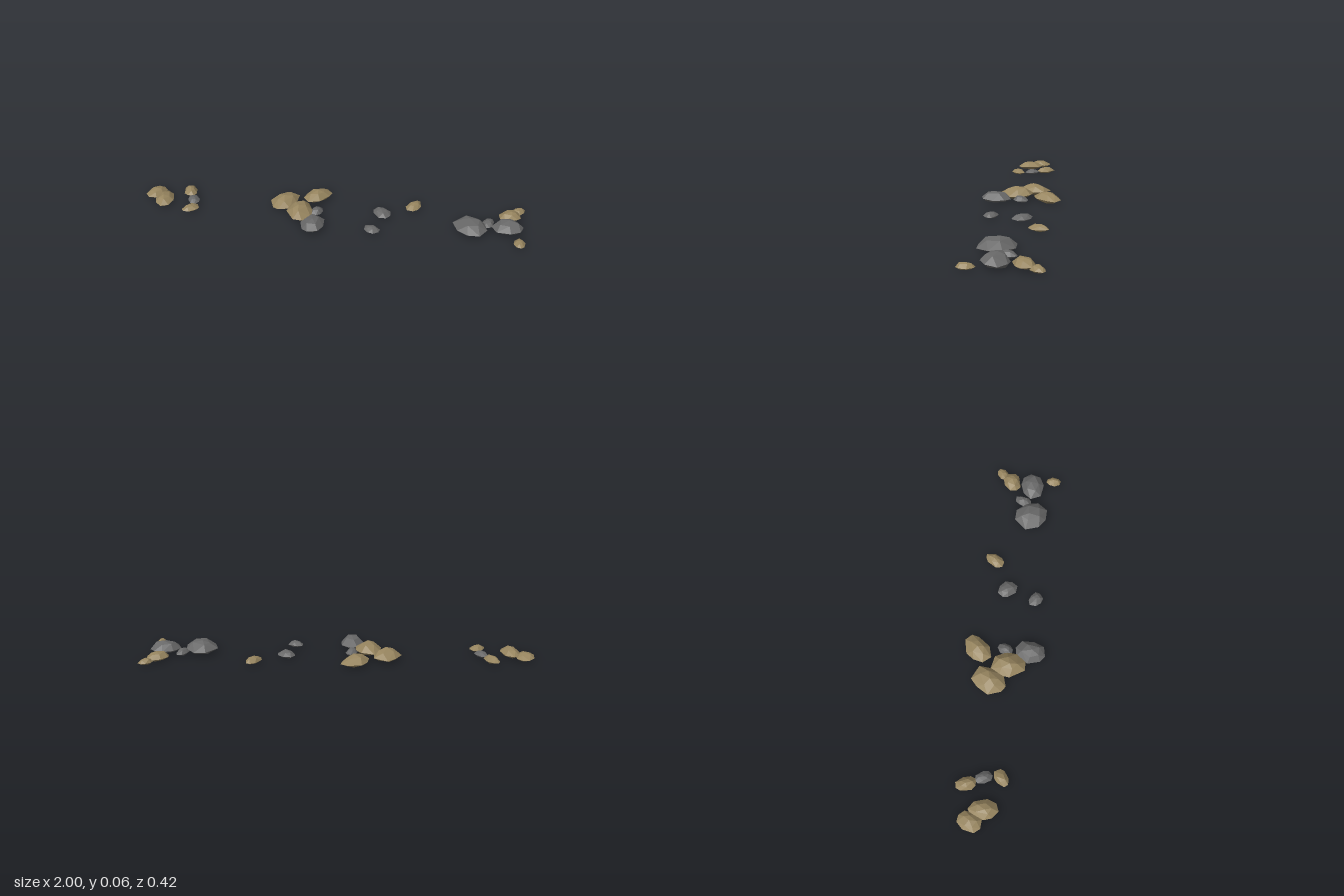
import * as THREE from 'three';
import { ConvexGeometry } from 'three/addons/geometries/ConvexGeometry.js';

const TAN = new THREE.MeshStandardMaterial({ color: 0x97855f, flatShading: true });
const GREY = new THREE.MeshStandardMaterial({ color: 0x686868, flatShading: true });

function seeded(seed) {
  let s = seed * 7919 + 17;
  return () => (s = (s * 16807) % 2147483647) / 2147483647;
}

// Faceted pebble: jittered rings wrapped in a convex hull, fitted to w x h x d.
// lean > 0 stretches it along the +x/-z diagonal, lean < 0 along +x/+z.
function rockGeometry(w, h, d, lean, seed) {
  const rnd = seeded(seed);
  rnd();
  const points = [];
  // [sides, radius, height]
  const rings = [[6, 0.66, 0.07], [8, 1, 0.36], [5, 0.56, 0.86]];
  for (const [sides, radius, y] of rings) {
    const phase = rnd() * Math.PI;
    for (let i = 0; i < sides; i++) {
      const a = phase + ((i + (rnd() - 0.5) * 0.45) / sides) * Math.PI * 2;
      const r = radius * (0.92 + rnd() * 0.16);
      const x = Math.cos(a) * r, z = Math.sin(a) * r;
      const u = (x - z) * (lean < 0 ? 1 + lean : 1);
      const v = (x + z) * (lean > 0 ? 1 - lean : 1);
      points.push(new THREE.Vector3(u + v, y + (rnd() - 0.5) * 0.12, v - u));
    }
  }
  points.push(new THREE.Vector3((rnd() - 0.5) * 0.4, 1.03, (rnd() - 0.5) * 0.4));
  points.push(new THREE.Vector3(0, -0.02, 0));

  // Fit the points to the wanted size, resting on y = 0
  const box = new THREE.Box3().setFromPoints(points);
  const size = box.getSize(new THREE.Vector3());
  const mid = box.getCenter(new THREE.Vector3());
  for (const p of points) {
    p.set((p.x - mid.x) / size.x * w, (p.y - box.min.y) / size.y * h, (p.z - mid.z) / size.z * d);
  }
  return new ConvexGeometry(points);
}

// Each rock: x, z, width, height, depth, diagonal lean, material
const CLUSTERS = {
  leftEndRocks: [
    [-0.95, -0.075, 0.10, 0.040, 0.12, 0.15, TAN],
    [-0.885, -0.015, 0.10, 0.045, 0.15, -0.15, TAN],
    [-0.772, -0.115, 0.075, 0.036, 0.10, -0.25, TAN],
    [-0.733, -0.03, 0.065, 0.030, 0.085, -0.3, GREY],
    [-0.727, 0.053, 0.085, 0.032, 0.075, 0.3, TAN],
  ],
  middleRocks: [
    [-0.25, -0.065, 0.145, 0.060, 0.18, 0.15, TAN],
    [-0.083, -0.138, 0.145, 0.055, 0.145, 0.3, TAN],
    [-0.155, 0.025, 0.135, 0.065, 0.175, -0.1, TAN],
    [-0.07, 0, 0.065, 0.035, 0.08, 0.2, GREY],
    [-0.077, 0.13, 0.12, 0.057, 0.155, 0, GREY],
  ],
  scatteredRocks: [
    [0.265, -0.025, 0.09, 0.034, 0.10, -0.25, GREY],
    [0.227, 0.13, 0.08, 0.030, 0.075, -0.2, GREY],
    [0.425, -0.11, 0.08, 0.034, 0.10, 0.3, TAN],
  ],
  rightEndRocks: [
    [0.71, 0.055, 0.17, 0.063, 0.17, -0.15, GREY],
    [0.802, 0.005, 0.065, 0.035, 0.085, 0.25, GREY],
    [0.897, 0.045, 0.16, 0.062, 0.125, 0.12, GREY],
    [0.917, -0.07, 0.11, 0.045, 0.10, 0.2, TAN],
    [0.965, -0.127, 0.07, 0.030, 0.065, 0.3, TAN],
    [0.947, 0.16, 0.058, 0.030, 0.08, 0, TAN],
  ],
};

export function createModel() {
  const model = new THREE.Group();
  model.name = 'scatteredStones';
  let seed = 1;
  for (const [name, rocks] of Object.entries(CLUSTERS)) {
    const cluster = new THREE.Group();
    cluster.name = name;
    for (const [x, z, w, h, d, lean, material] of rocks) {
      const rock = new THREE.Mesh(rockGeometry(w, h, d, lean, seed++), material);
      rock.name = material === TAN ? 'tanRock' : 'greyRock';
      rock.position.set(x, 0, z);
      cluster.add(rock);
    }
    model.add(cluster);
  }
  return model;
}
